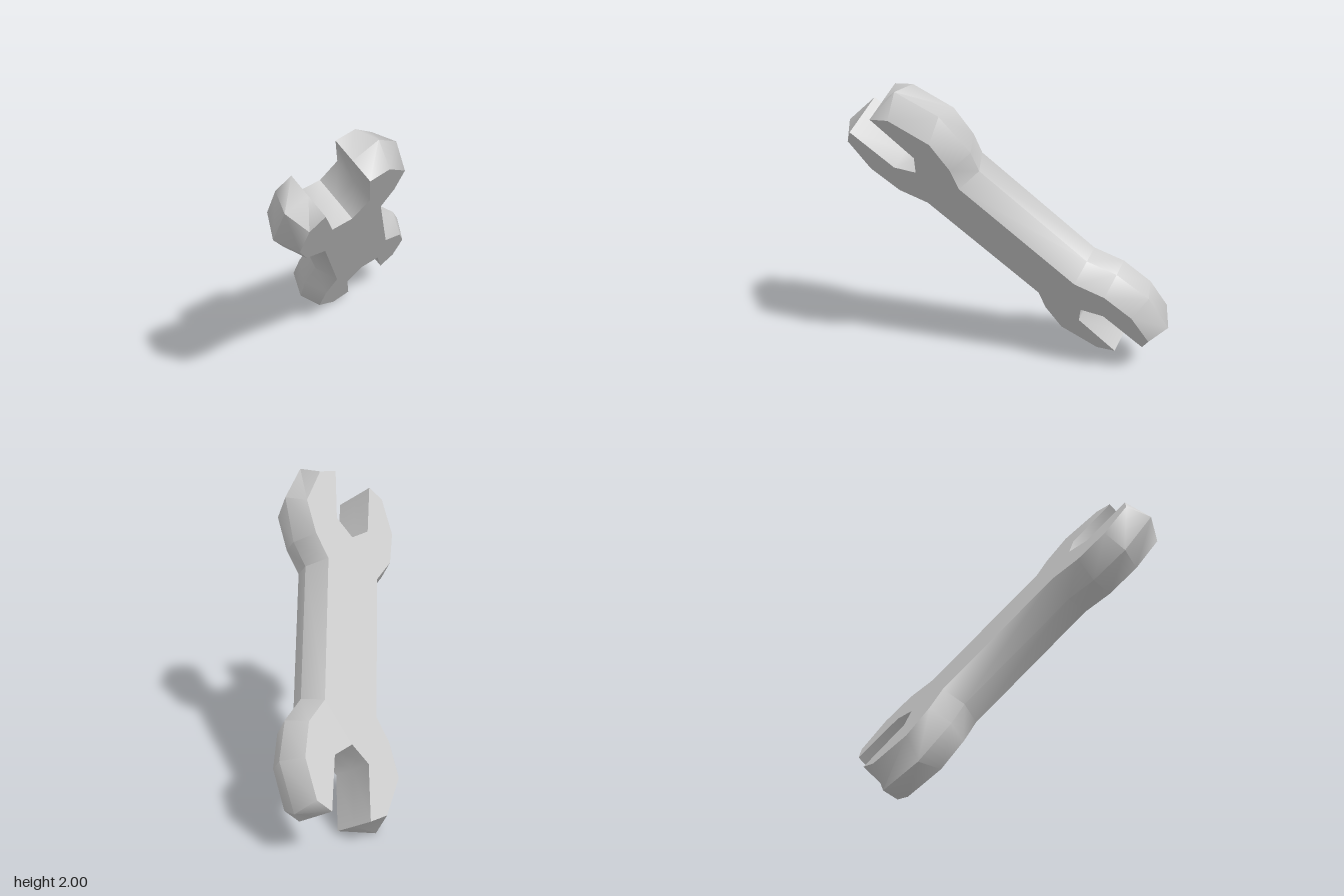
import * as THREE from 'three';
import { toCreasedNormals } from 'three/addons/utils/BufferGeometryUtils.js';

const HALF_THICKNESS = 0.153;

// One open-jaw head, from the left shank corner round to the right one:
// [face across, face along, ridge across, ridge along]
const head = [
  [-0.218, 0.50, -0.285, 0.47],
  [-0.34, 0.675, -0.405, 0.645],
  [-0.36, 0.908, -0.435, 0.915],
  [-0.26, 1.152, -0.305, 1.215],
  [-0.14, 1.195, -0.14, 1.195],
  [-0.128, 0.837, -0.128, 0.837],
  [0.012, 0.735, 0.012, 0.735],
  [0.153, 0.829, 0.153, 0.829],
  [0.174, 1.193, 0.174, 1.193],
  [0.311, 1.126, 0.36, 1.20],
  [0.415, 0.858, 0.478, 0.92],
  [0.329, 0.64, 0.393, 0.61],
  [0.218, 0.497, 0.285, 0.47],
];

function wrenchGeometry() {
  // The second head is the first one turned half a circle
  const loop = [...head, ...head.map((p) => p.map((v) => -v))].reverse();
  const n = loop.length;
  const positions = [];
  const index = [];

  // Three rings: back face, side ridge, front face
  for (const [z, k] of [[-HALF_THICKNESS, 0], [0, 2], [HALF_THICKNESS, 0]]) {
    for (const p of loop) positions.push(p[k], p[k + 1], z);
  }

  // Sides
  for (let ring = 0; ring < 2; ring++) {
    for (let i = 0; i < n; i++) {
      const a = ring * n + i;
      const b = ring * n + (i + 1) % n;
      index.push(a, b, b + n, a, b + n, a + n);
    }
  }

  // Flat faces
  const outline = loop.map((p) => new THREE.Vector2(p[0], p[1]));
  for (const [a, b, c] of THREE.ShapeUtils.triangulateShape(outline, [])) {
    index.push(a + 2 * n, b + 2 * n, c + 2 * n, c, b, a);
  }

  const geometry = new THREE.BufferGeometry();
  geometry.setAttribute('position', new THREE.Float32BufferAttribute(positions, 3));
  geometry.setIndex(index);
  return toCreasedNormals(geometry, 0.93);
}

export function createModel() {
  const group = new THREE.Group();
  group.name = 'doubleEndedWrench';

  const material = new THREE.MeshStandardMaterial({ color: 0xcccccc });
  const wrench = new THREE.Mesh(wrenchGeometry(), material);
  wrench.name = 'wrenchBody';

  // Lean the wrench: shank direction and face normal
  const along = new THREE.Vector3(-0.4175, 0.679, 0.604).normalize();
  const across = new THREE.Vector3().crossVectors(along, new THREE.Vector3(0.271, -0.543, 0.795)).normalize();
  const normal = new THREE.Vector3().crossVectors(across, along);
  wrench.quaternion.setFromRotationMatrix(new THREE.Matrix4().makeBasis(across, along, normal));
  wrench.position.y = 1;
  group.add(wrench);
  return group;
}
